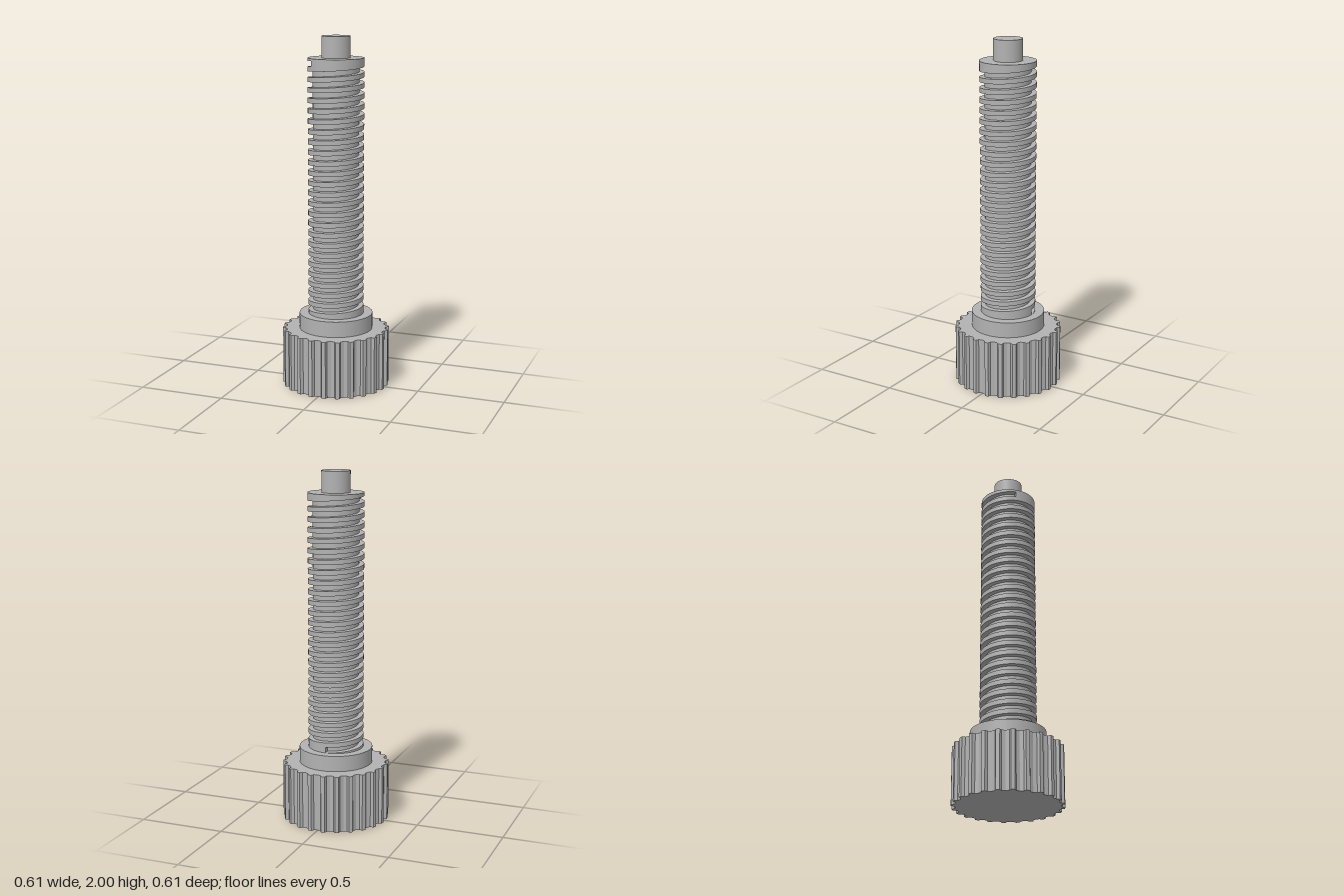
import * as THREE from 'three';
import { mergeGeometries } from 'three/addons/utils/BufferGeometryUtils.js';

const TAU = Math.PI * 2;
const CREST = 0.158, ROOT = 0.13;          // shaft and groove radii
const SHAFT_BOTTOM = 0.42, SHAFT_TOP = 1.88;
const PITCH = 0.058, HALF = 0.0155, HALF_ROOT = 0.0135;
const T0 = TAU / 4;                        // groove starts at the back
const T1 = T0 + TAU * (24 + 140 / 360);    // and runs out at the front right
const grooveY = t => 0.437 + PITCH * (t - T0) / TAU;

const onShaft = (t, r, y) => [r * Math.cos(t), y, -r * Math.sin(t)];

// Surface between two helical edges; low(t) and high(t) return [radius, y]
function strip(from, to, low, high) {
  const n = Math.ceil((to - from) / TAU * 64);
  const pos = [], idx = [];
  for (let i = 0; i <= n; i++) {
    const t = from + (to - from) * i / n;
    pos.push(...onShaft(t, ...low(t)), ...onShaft(t, ...high(t)));
    if (i < n) {
      const a = i * 2;
      idx.push(a, a + 2, a + 3, a, a + 3, a + 1);
    }
  }
  return surface(pos, idx);
}

function surface(pos, idx) {
  const g = new THREE.BufferGeometry();
  g.setAttribute('position', new THREE.Float32BufferAttribute(pos, 3));
  g.setIndex(idx);
  g.computeVertexNormals();
  return g;
}

// Wall closing one end of the groove
function grooveEnd(t, flip) {
  const y = grooveY(t);
  const pos = [
    ...onShaft(t, ROOT, y - HALF_ROOT), ...onShaft(t, CREST, y - HALF),
    ...onShaft(t, CREST, y + HALF), ...onShaft(t, ROOT, y + HALF_ROOT),
  ];
  return surface(pos, flip ? [0, 1, 2, 0, 2, 3] : [0, 2, 1, 0, 3, 2]);
}

function threadGeometry() {
  const lowerLip = t => [CREST, grooveY(t) - HALF];
  const upperLip = t => [CREST, grooveY(t) + HALF];
  const lowerRoot = t => [ROOT, grooveY(t) - HALF_ROOT];
  const upperRoot = t => [ROOT, grooveY(t) + HALF_ROOT];
  const nextLip = t => lowerLip(t + TAU);
  const base = () => [CREST, SHAFT_BOTTOM];
  const top = () => [CREST, SHAFT_TOP];
  return mergeGeometries([
    // groove walls and floor
    strip(T0, T1, lowerLip, lowerRoot),
    strip(T0, T1, lowerRoot, upperRoot),
    strip(T0, T1, upperRoot, upperLip),
    grooveEnd(T0, false),
    grooveEnd(T1, true),
    // plain foot, crests between turns, plain top collar
    strip(T0 - TAU, T0, base, nextLip),
    strip(T0, T1 - TAU, upperLip, nextLip),
    strip(T1 - TAU, T1, upperLip, top),
  ]);
}

// Gear-like outline: 24 flat teeth with shallow V valleys
function knurlGeometry(height) {
  const profile = [[0, 0.282], [4, 0.289], [5.5, 0.306], [9.5, 0.306], [11, 0.289]];
  const points = [];
  for (let i = 0; i < 24; i++) {
    for (const [deg, r] of profile) {
      const a = (i * 15 + deg) * Math.PI / 180;
      points.push(new THREE.Vector2(r * Math.cos(a), r * Math.sin(a)));
    }
  }
  const g = new THREE.ExtrudeGeometry(new THREE.Shape(points), { depth: height, bevelEnabled: false });
  g.rotateX(-Math.PI / 2);
  return g;
}

export function createModel() {
  const model = new THREE.Group();
  model.name = 'thumbScrew';
  const steel = new THREE.MeshStandardMaterial({ color: 0xb2b2b2 });
  steel.name = 'steel grey';

  const add = (name, geometry, y = 0) => {
    const mesh = new THREE.Mesh(geometry, steel);
    mesh.name = name;
    mesh.position.y = y;
    model.add(mesh);
  };
  const cylinder = (name, r, y0, y1) =>
    add(name, new THREE.CylinderGeometry(r, r, y1 - y0, 64), (y0 + y1) / 2);

  add('knurledHead', knurlGeometry(0.33));
  cylinder('collar', 0.21, 0.33, SHAFT_BOTTOM);
  add('threadedShaft', threadGeometry());

  // Shoulder closing the top of the shaft
  const shoulder = new THREE.RingGeometry(0.08, CREST, 64);
  shoulder.rotateX(-Math.PI / 2);
  add('shaftShoulder', shoulder, SHAFT_TOP);

  cylinder('tipPin', 0.081, SHAFT_TOP, 2);
  return model;
}
